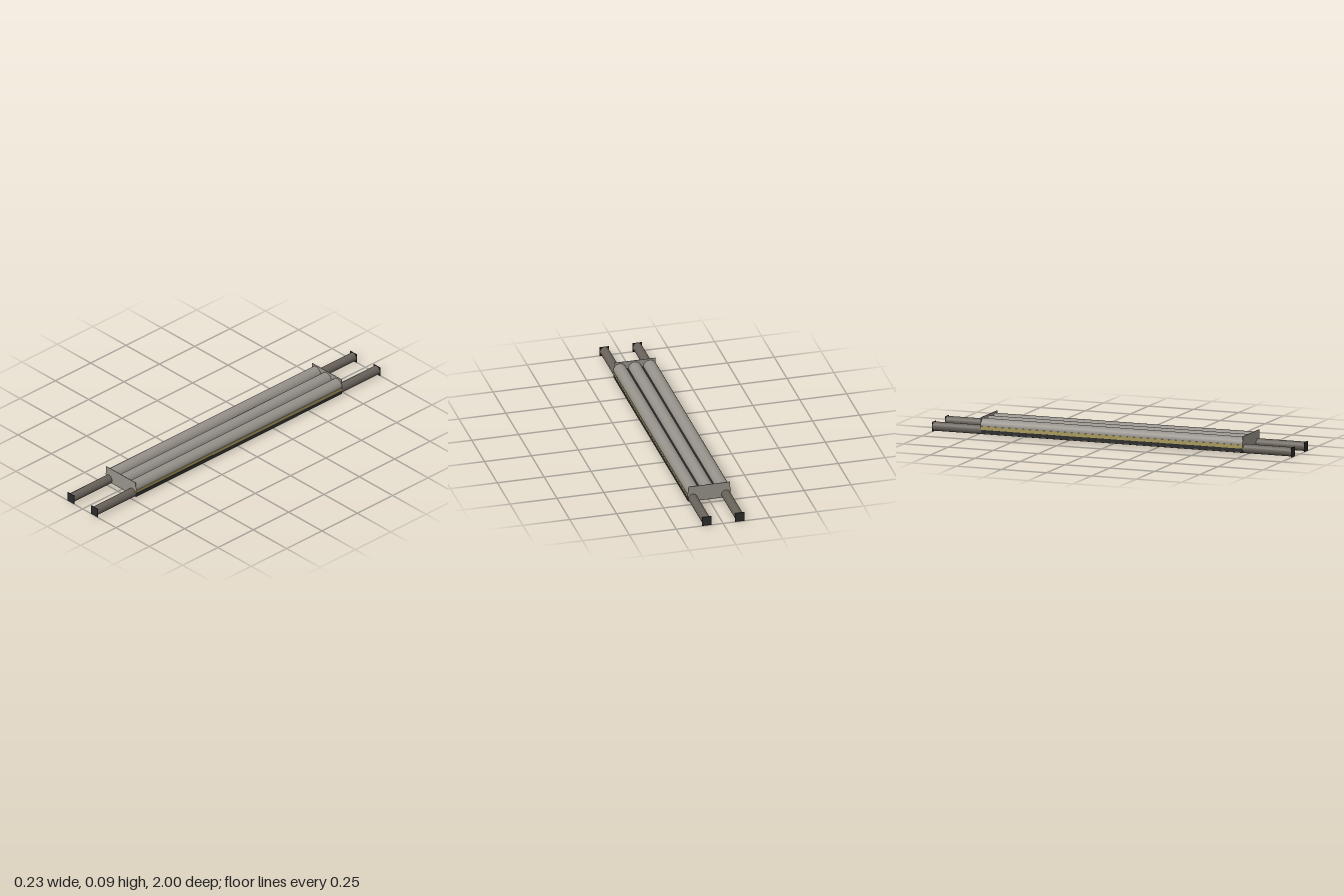
import * as THREE from 'three';

const mat = (name, color) => new THREE.MeshStandardMaterial({ name, color });

export function createModel() {
  const grey = mat('tube grey', 0x96918a);
  const plateGrey = mat('plate grey', 0x96928a);
  const brown = mat('rail brown', 0x68625a);
  const black = mat('cap black', 0x2b2b2b);
  const yellow = mat('strip yellow', 0xb8a868);
  yellow.side = THREE.DoubleSide;

  const model = new THREE.Group();
  model.name = 'railCarriedTubeRack';
  const add = (name, geometry, material, x, y, z) => {
    const mesh = new THREE.Mesh(geometry, material);
    mesh.name = name;
    mesh.position.set(x, y, z);
    model.add(mesh);
    return mesh;
  };
  const rod = (r, length, sides) =>
    new THREE.CylinderGeometry(r, r, length, sides).rotateX(Math.PI / 2);

  const bodyLength = 1.456;

  // Three long tubes lying side by side
  for (const x of [-0.08, 0, 0.08]) {
    add('tube', rod(0.035, bodyLength, 24), grey, x, 0.05, 0);
  }

  // Base: brown floor, black tray and the dark deck between the tubes
  add('floor', new THREE.BoxGeometry(0.224, 0.004, bodyLength), brown, 0, 0.009, 0);
  add('tray', new THREE.BoxGeometry(0.226, 0.017, bodyLength), black, 0, 0.0195, 0);
  add('deck', new THREE.BoxGeometry(0.2, 0.024, bodyLength), black, 0, 0.04, 0);

  for (const side of [-1, 1]) {
    // Carrying rails with square end caps
    add('rail', rod(0.024, 1.996, 24), brown, side * 0.088, 0.026, 0);
    for (const end of [-1, 1]) {
      add('railCap', new THREE.BoxGeometry(0.05, 0.05, 0.003), black,
        side * 0.088, 0.0255, end * 0.9985);
    }
    // Yellow strip under the outer tube, leaning inward at its foot
    const strip = add('sideStrip', new THREE.BoxGeometry(0.004, 0.021, bodyLength), yellow,
      side * 0.1125, 0.038, 0);
    strip.rotation.z = -side * 0.2;
  }

  // End plates
  for (const end of [-1, 1]) {
    add('endPlate', new THREE.BoxGeometry(0.22, 0.082, 0.003), plateGrey, 0, 0.052, end * 0.7285);
  }

  return model;
}
